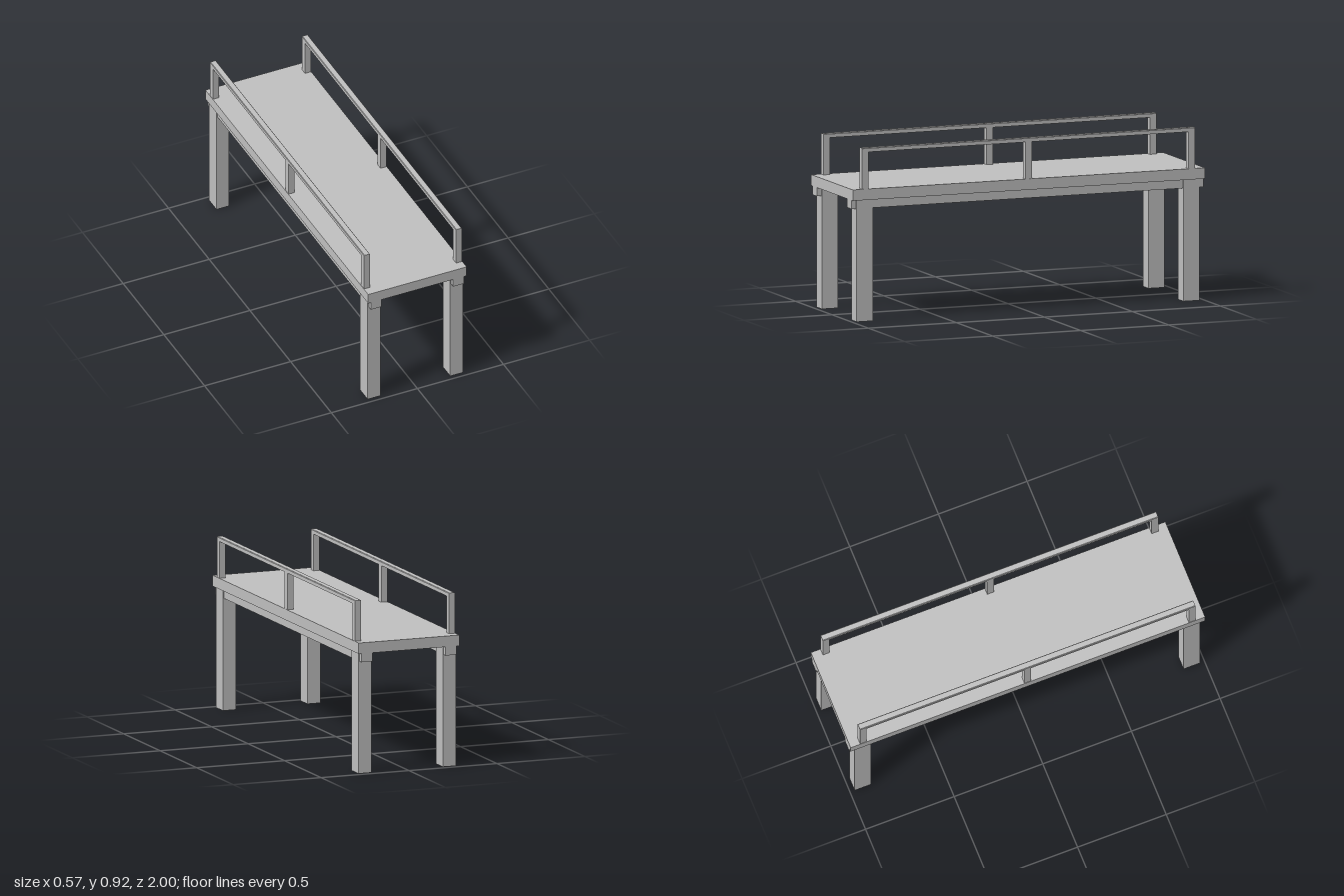
import * as THREE from 'three';

export function createModel() {
  const group = new THREE.Group();
  const grey = new THREE.MeshStandardMaterial({ color: 0xc0c0c0 });
  grey.name = 'light grey';

  // Box given by its lower and upper limits on each axis
  function box(name, [x0, x1], [y0, y1], [z0, z1]) {
    const mesh = new THREE.Mesh(new THREE.BoxGeometry(x1 - x0, y1 - y0, z1 - z0), grey);
    mesh.position.set((x0 + x1) / 2, (y0 + y1) / 2, (z0 + z1) / 2);
    mesh.name = name;
    group.add(mesh);
  }
  const mirror = ([a, b], side) => (side > 0 ? [a, b] : [-b, -a]);

  box('deck', [-0.286, 0.286], [0.646, 0.704], [-1, 1]);

  for (const side of [1, -1]) {
    const label = side > 0 ? 'left' : 'right';

    // Beam under the deck and the legs around it
    box(label + 'Beam', mirror([0.208, 0.27], side), [0.6, 0.646], [-1, 1]);
    for (const end of [1, -1]) {
      box(label + (end > 0 ? 'FrontLeg' : 'BackLeg'),
        mirror([0.203, 0.277], side), [0, 0.646], mirror([0.882, 0.974], end));
    }

    // Railing posts
    const railX = mirror([0.25, 0.284], side);
    [[0.909, 0.946], [-0.019, 0.019], [-0.946, -0.909]].forEach((z, i) =>
      box(label + ['Front', 'Middle', 'Back'][i] + 'Post', railX, [0.704, 0.9], z));

    // Handrail with small chamfers along its top edges
    const [a, b] = railX, c = 0.003;
    const profile = new THREE.Shape([
      [a, 0.9], [b, 0.9], [b, 0.922 - c], [b - c, 0.922], [a + c, 0.922], [a, 0.922 - c],
    ].map(([x, y]) => new THREE.Vector2(x, y)));
    const rail = new THREE.Mesh(
      new THREE.ExtrudeGeometry(profile, { depth: 1.892, bevelEnabled: false }), grey);
    rail.position.z = -0.946;
    rail.name = label + 'Handrail';
    group.add(rail);
  }
  return group;
}
